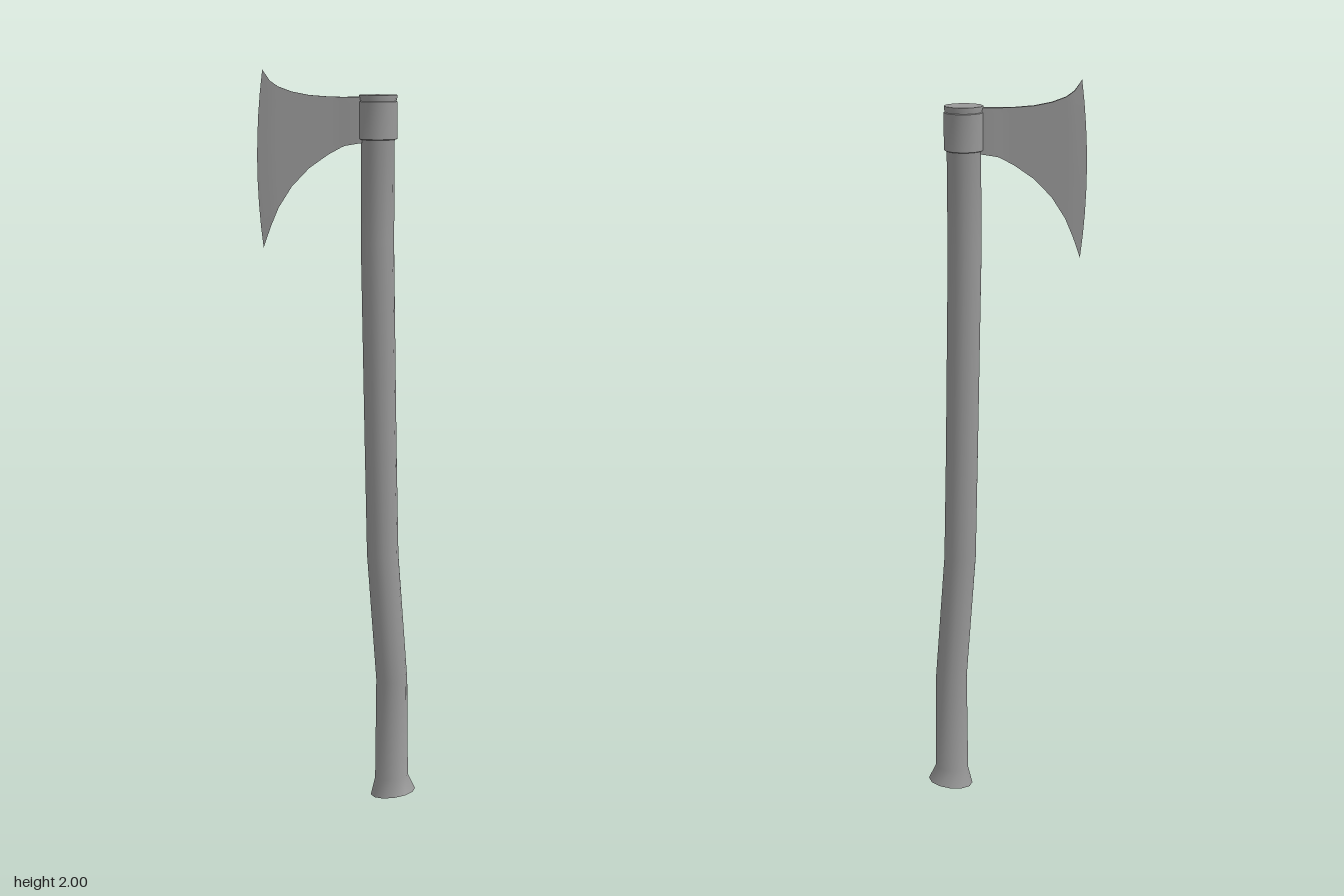
import * as THREE from 'three';
import { toCreasedNormals } from 'three/addons/utils/BufferGeometryUtils.js';

// Skins a list of closed rings (equal point counts) and caps both ends.
function loft(rings, crease) {
  const n = rings[0].length;
  const pos = [], idx = [];
  rings.forEach(r => r.forEach(p => pos.push(...p)));
  for (let i = 0; i < rings.length - 1; i++) {
    for (let j = 0; j < n; j++) {
      const a = i * n + j, b = i * n + (j + 1) % n;
      idx.push(a, a + n, b, b, a + n, b + n);
    }
  }
  [0, rings.length - 1].forEach((ri, end) => {
    const c = pos.length / 3;
    pos.push(...[0, 1, 2].map(k => rings[ri].reduce((s, p) => s + p[k], 0) / n));
    for (let j = 0; j < n; j++) {
      const a = ri * n + j, b = ri * n + (j + 1) % n;
      if (end) idx.push(c, b, a); else idx.push(c, a, b);
    }
  });
  const g = new THREE.BufferGeometry();
  g.setAttribute('position', new THREE.Float32BufferAttribute(pos, 3));
  g.setIndex(idx);
  return toCreasedNormals(g, crease);
}

// Horizontal oval ring; tilt raises the +x side.
function oval(x, y, rx, rz, tilt = 0) {
  return Array.from({ length: 12 }, (_, j) => {
    const a = j / 12 * Math.PI * 2;
    return [x + rx * Math.cos(a), y + tilt * Math.cos(a), rz * Math.sin(a)];
  });
}

// Blade section: down the front face, back up the rear face.
function bladeRing([x, top, bottom, half, bulge]) {
  const rows = 8, ring = [];
  for (const side of [1, -1]) {
    for (let i = 0; i <= rows; i++) {
      const t = side > 0 ? i / rows : 1 - i / rows;
      ring.push([x - bulge * 4 * t * (1 - t), top + (bottom - top) * t, side * half]);
    }
  }
  return ring;
}

export function createModel() {
  const group = new THREE.Group();
  const material = new THREE.MeshStandardMaterial({ color: 0x999999 });
  const add = (name, geometry) => {
    const mesh = new THREE.Mesh(geometry, material);
    mesh.name = name;
    group.add(mesh);
  };

  // Curved oval handle with a flared, slanted foot
  add('handle', loft([
    oval(0.15, 0.008, 0.062, 0.05, 0.008),
    oval(0.146, 0.055, 0.046, 0.037, 0.004),
    oval(0.145, 0.34, 0.043, 0.036),
    oval(0.118, 0.7, 0.043, 0.036),
    oval(0.111, 1.0, 0.043, 0.036),
    oval(0.1, 1.55, 0.044, 0.036),
    oval(0.1, 1.905, 0.044, 0.036),
    oval(0.1, 1.927, 0.05, 0.04),
    oval(0.1, 1.935, 0.05, 0.04),
  ], 0.7));

  // Metal collar around the handle top
  add('collar', loft([
    oval(0.1, 1.82, 0.046, 0.037),
    oval(0.1, 1.822, 0.051, 0.041),
    oval(0.1, 1.918, 0.051, 0.041),
    oval(0.1, 1.92, 0.046, 0.037),
  ], 0.7));

  // Blade columns: x, top, bottom, half thickness, forward bulge
  add('blade', loft([
    [0.06, 1.93, 1.812, 0.006, 0],
    [0.015, 1.93, 1.805, 0.0058, 0],
    [0.005, 1.93, 1.801, 0.0045, 0],
    [-0.03, 1.931, 1.782, 0.0045, 0],
    [-0.08, 1.935, 1.747, 0.0045, 0],
    [-0.125, 1.944, 1.7, 0.0045, 0.001],
    [-0.16, 1.957, 1.645, 0.0045, 0.003],
    [-0.181, 1.972, 1.595, 0.004, 0.009],
    [-0.2, 2.0, 1.54, 0.0003, 0.015],
  ].map(bladeRing), 0.5));

  return group;
}
